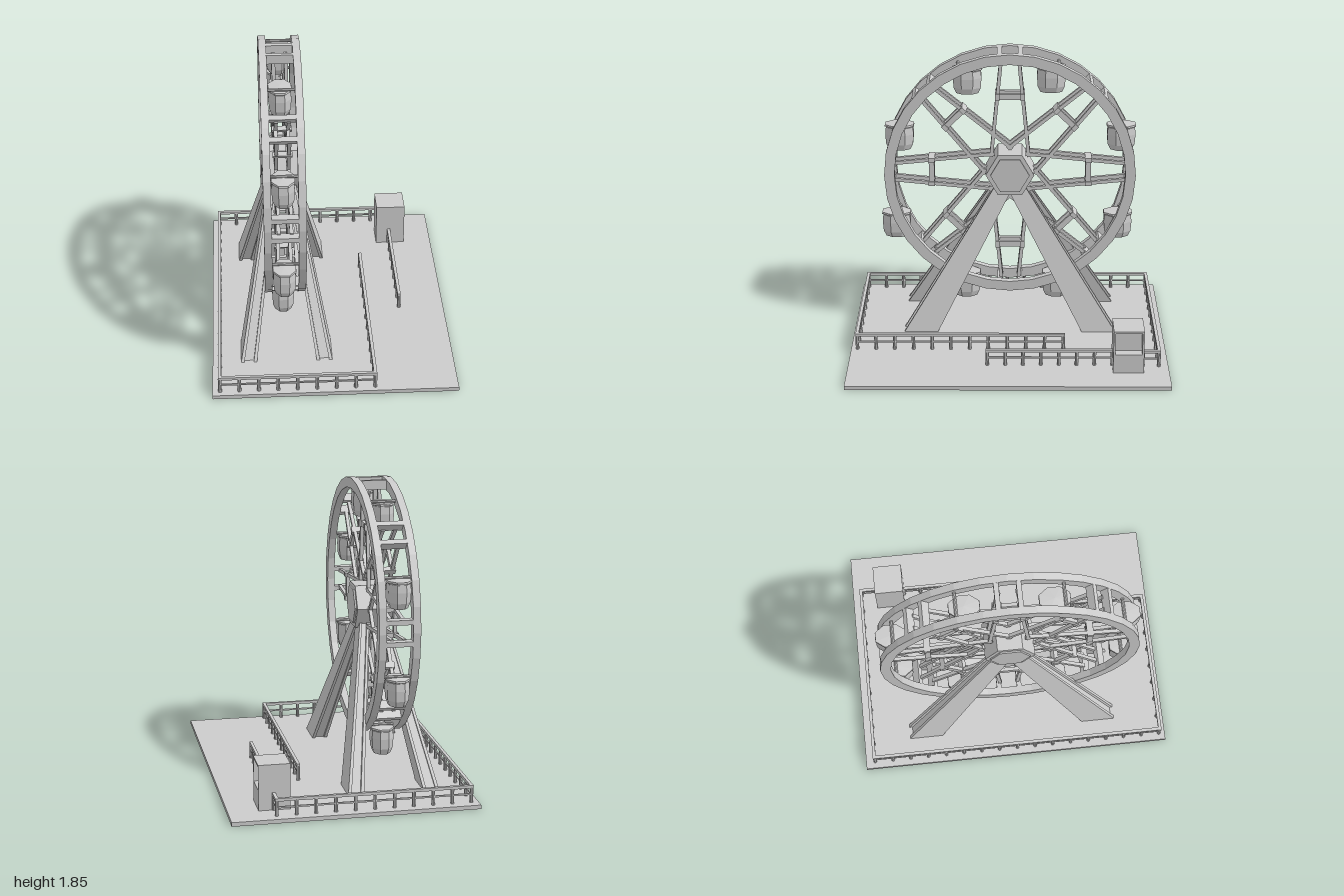
import * as THREE from 'three';

const grey = new THREE.MeshStandardMaterial({ color: 0xcccccc, flatShading: true });
const CX = -0.289, CY = 1.05, CZ = -0.01; // wheel centre

function add(parent, geo, name, x = 0, y = 0, z = 0) {
  const m = new THREE.Mesh(geo, grey);
  m.name = name;
  m.position.set(x, y, z);
  parent.add(m);
  return m;
}

function group(parent, name) {
  const g = new THREE.Group();
  g.name = name;
  parent.add(g);
  return g;
}

// box given by its min and max on each axis
function block(parent, name, x0, x1, y0, y1, z0, z1) {
  return add(parent, new THREE.BoxGeometry(x1 - x0, y1 - y0, z1 - z0), name,
    (x0 + x1) / 2, (y0 + y1) / 2, (z0 + z1) / 2);
}

// square bar between two points in a plane of constant x
function bar(parent, name, x, y0, z0, y1, z1, t) {
  const m = add(parent, new THREE.BoxGeometry(t, Math.hypot(y1 - y0, z1 - z0), t), name,
    x, (y0 + y1) / 2, (z0 + z1) / 2);
  m.rotation.x = Math.atan2(z1 - z0, y1 - y0);
  return m;
}

// tapered, leaning beam: each end is [x0, x1, y, z0, z1]
function beam(parent, name, lo, hi) {
  const geo = new THREE.BoxGeometry(1, 1, 1);
  const p = geo.attributes.position;
  for (let i = 0; i < p.count; i++) {
    const e = p.getY(i) > 0 ? hi : lo;
    p.setXYZ(i, p.getX(i) > 0 ? e[1] : e[0], e[2], p.getZ(i) > 0 ? e[4] : e[3]);
  }
  // keep winding outward when the beam is mirrored
  const flip = (lo[1] < lo[0]) !== (lo[4] < lo[3]);
  if (flip) geo.index.array.reverse();
  geo.computeVertexNormals();
  return add(parent, geo, name);
}

function makeWheel(root) {
  const wheel = group(root, 'wheel');
  wheel.position.set(CX, CY, CZ);

  // two rims
  const shape = new THREE.Shape().absarc(0, 0, 0.802, 0, Math.PI * 2);
  shape.holes.push(new THREE.Path().absarc(0, 0, 0.737, 0, Math.PI * 2, true));
  const rim = new THREE.ExtrudeGeometry(shape, { depth: 0.046, bevelEnabled: false, curveSegments: 16 });
  rim.translate(0, 0, -0.023).rotateY(Math.PI / 2);
  for (const s of [-1, 1]) add(wheel, rim, 'rim', s * 0.103);

  // hexagonal hub with raised end faces
  const hex = (r, w) => new THREE.CylinderGeometry(r, r, w, 6).rotateY(0).rotateZ(Math.PI / 2);
  add(wheel, hex(0.155, 0.23), 'hub');
  add(wheel, hex(0.125, 0.25), 'hubCap');

  // eight double spokes with a square frame halfway and ties at the rim
  for (let i = 0; i < 8; i++) {
    const spoke = group(wheel, 'spoke');
    spoke.rotation.x = i * Math.PI / 4;
    for (const s of [-1, 1]) {
      for (const t of [-1, 1]) bar(spoke, 'spokeBar', s * 0.038, 0.1, t * 0.12, 0.75, t * 0.055, 0.022);
      block(spoke, 'spokeTie', s * 0.038 - 0.011, s * 0.038 + 0.011, 0.485, 0.52, -0.08, 0.08);
      block(spoke, 'spokeCrossbar', -0.06, 0.06, 0.482, 0.523, s * 0.08 - 0.014, s * 0.08 + 0.014);
      block(spoke, 'rimTie', -0.085, 0.085, 0.737, 0.795, s * 0.066 - 0.015, s * 0.066 + 0.015);
    }
  }
}

// hanging cabins: [z, y] of each cabin centre
function makeCabins(root) {
  const profile = [[0, -0.083], [0.072, -0.083], [0.09, -0.045], [0.095, 0.02], [0.09, 0.066],
    [0.082, 0.066], [0.082, 0.072], [0.098, 0.072], [0.096, 0.084], [0, 0.09]]
    .map(([r, y]) => new THREE.Vector2(r, y));
  const body = new THREE.LatheGeometry(profile, 8, Math.PI / 8);
  body.scale(0.78, 1, 1.03);
  const places = [[0.26, 1.65], [-0.27, 1.66], [0.695, 1.275], [-0.72, 1.275],
    [0.727, 0.675], [-0.71, 0.675], [0.275, 0.25], [-0.315, 0.25]];
  for (const [z, y] of places) {
    const cabin = group(root, 'cabin');
    cabin.position.set(CX - 0.008, y, z);
    add(cabin, body, 'cabinBody');
    // axle between the rims, centred in the rim thickness
    const ay = y + 0.093 - CY;
    const az = Math.sign(z) * Math.sqrt(Math.max(0, 0.768 ** 2 - ay * ay)) + CZ;
    const reach = THREE.MathUtils.clamp(az, z - 0.08, z + 0.08);
    add(cabin, new THREE.CylinderGeometry(0.01, 0.01, 0.17, 8).rotateZ(Math.PI / 2), 'axle', 0.008, 0.093, reach - z);
  }
}

// four leaning legs, grooved along their front and back edges
function makeLegs(root) {
  const legs = group(root, 'legs');
  legs.position.set(CX, 0, CZ);
  for (const sx of [-1, 1]) for (const sz of [-1, 1]) {
    const end = (x0, x1, y, z0, z1) => [sx * x0, sx * x1, y, sz * z0, sz * z1];
    beam(legs, 'legOuterPlate', end(0.269, 0.289, 0, 0.48, 0.7), end(0.075, 0.09, 0.95, -0.015, 0.105));
    beam(legs, 'legInnerPlate', end(0.19, 0.21, 0, 0.48, 0.7), end(0.03, 0.045, 0.95, -0.015, 0.105));
    beam(legs, 'legWeb', end(0.2, 0.28, 0, 0.5, 0.68), end(0.04, 0.08, 0.95, 0.0, 0.088));
  }
}

// fence run from (x0, z0) to (x1, z1)
function fence(root, x0, z0, x1, z1) {
  const run = group(root, 'fence');
  const len = Math.hypot(x1 - x0, z1 - z0);
  const n = Math.max(1, Math.round(len / 0.12));
  const post = new THREE.CylinderGeometry(0.011, 0.011, 0.12, 8);
  for (let i = 0; i <= n; i++) {
    add(run, post, 'fencePost', x0 + (x1 - x0) * i / n, 0.06, z0 + (z1 - z0) * i / n);
  }
  for (const [y, h, w] of [[0.125, 0.018, 0.02], [0.077, 0.01, 0.01]]) {
    const rail = add(run, new THREE.BoxGeometry(len + w, h, w), 'fenceRail', (x0 + x1) / 2, y, (z0 + z1) / 2);
    rail.rotation.y = -Math.atan2(z1 - z0, x1 - x0);
  }
}

// ticket booth with a recessed window on its left side
function makeBooth(root) {
  const booth = group(root, 'booth');
  const x0 = 0.375, x1 = 0.567, z0 = -0.84, z1 = -0.65, top = 0.307;
  block(booth, 'boothBody', x0, x1 - 0.06, 0.02, top, z0, z1);
  block(booth, 'boothCounter', x1 - 0.06, x1, 0.02, 0.15, z0, z1);
  block(booth, 'boothRoof', x1 - 0.06, x1, top - 0.014, top, z0, z1);
  for (const z of [z0, z1 - 0.012]) block(booth, 'boothSide', x1 - 0.06, x1, 0.15, top - 0.014, z, z + 0.012);
}

export function createModel() {
  const root = new THREE.Group();
  root.name = 'ferrisWheel';
  block(root, 'base', -0.75, 0.75, 0, 0.025, -1, 1);
  makeWheel(root);
  makeCabins(root);
  makeLegs(root);
  makeBooth(root);
  fence(root, -0.705, -0.94, -0.705, 0.96);
  fence(root, -0.705, 0.96, 0.24, 0.96);
  fence(root, 0.24, 0.96, 0.24, -0.35);
  fence(root, -0.705, -0.94, 0.475, -0.94);
  fence(root, 0.475, -0.94, 0.475, -0.84);
  fence(root, 0.46, -0.65, 0.46, 0.13);
  return root;
}
